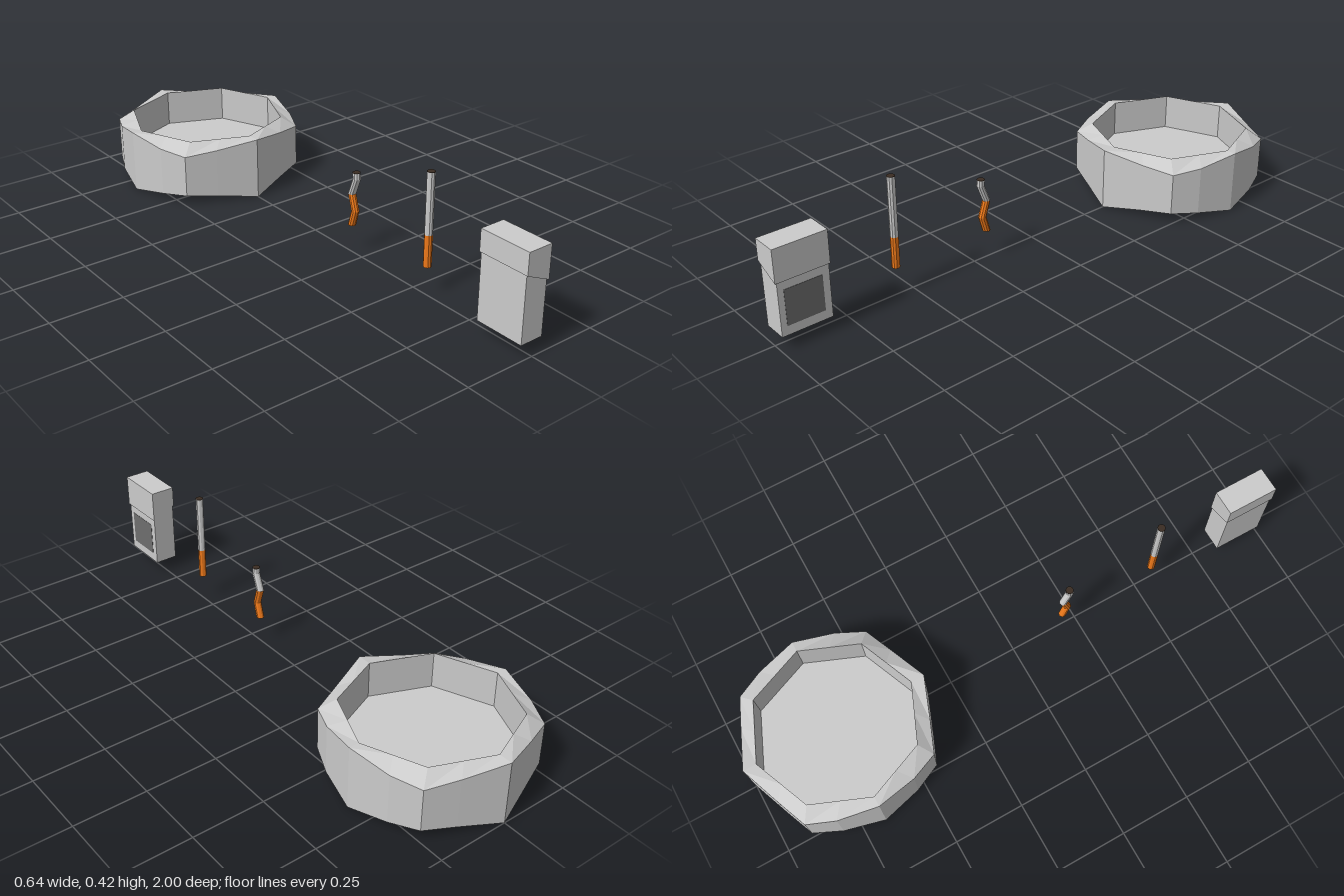
import * as THREE from 'three';

const mat = (color) => new THREE.MeshStandardMaterial({ color, flatShading: true });
const grey = mat(0xcccccc), orange = mat(0xf07a1a), dark = mat(0x3a2c22), label = mat(0x6e6e6e);

function add(parent, name, geometry, material, x = 0, y = 0, z = 0) {
  const mesh = new THREE.Mesh(geometry, material);
  mesh.name = name;
  mesh.position.set(x, y, z);
  parent.add(mesh);
  return mesh;
}

// Joins closed rings of points into faceted bands, first ring to last
function loft(rings) {
  const pos = [];
  for (let r = 0; r < rings.length - 1; r++) {
    const a = rings[r], b = rings[r + 1], n = a.length;
    for (let k = 0; k < n; k++) {
      const j = (k + 1) % n;
      for (const p of [a[k], a[j], b[j], a[k], b[j], b[k]]) pos.push(...p);
    }
  }
  const g = new THREE.BufferGeometry();
  g.setAttribute('position', new THREE.Float32BufferAttribute(pos, 3));
  g.computeVertexNormals();
  return g;
}

// Octagon with edge midpoints, 16 points
function octagon(radius, y) {
  return Array.from({ length: 16 }, (_, k) => {
    const a = (k * Math.PI) / 8, r = k % 2 ? radius * Math.cos(Math.PI / 8) : radius;
    return [r * Math.sin(a), y, r * Math.cos(a)];
  });
}

function ashtrayGeometry() {
  // One quarter of the outer outline: x, z, bevel height; mirrored to the full loop
  const q = [[0, 0.33, 0], [0.14, 0.277, 0.024], [0.245, 0.235, 0.037], [0.287, 0.14, 0.025], [0.318, 0, 0]];
  const outer = (top) => Array.from({ length: 16 }, (_, k) => {
    const m = k % 8, [x, z, h] = q[m <= 4 ? m : 8 - m];
    const sx = k <= 8 ? 1 : -1, sz = k <= 4 || k >= 12 ? 1 : -1;
    return [sx * x, top ? 0.224 - h : h, sz * z];
  });
  return loft([octagon(0, 0), octagon(0.255, 0), outer(false), outer(true),
    octagon(0.282, 0.224), octagon(0.282, 0.095), octagon(0, 0.095)]);
}

// Bent round stick along points [y, z], with end caps
function stick(points, radius, sides = 10) {
  const ring = (y, z, r) => Array.from({ length: sides }, (_, k) => {
    const a = (k * 2 * Math.PI) / sides;
    return [r * Math.sin(a), y, z + r * Math.cos(a)];
  });
  const first = points[0], last = points[points.length - 1];
  return loft([ring(...first, 0), ...points.map((p) => ring(...p, radius)), ring(...last, 0)]);
}

function cigarette(name, filter, paper, radius) {
  const g = new THREE.Group();
  g.name = name;
  add(g, 'filter', stick(filter, radius), orange);
  add(g, 'paper', stick(paper, radius), grey);
  const [y, z] = paper[paper.length - 1];
  add(g, 'tip', stick([[y - 0.001, z], [y + 0.001, z]], radius), dark);
  return g;
}

export function createModel() {
  const model = new THREE.Group();
  model.name = 'smokingSet';

  add(model, 'ashtray', ashtrayGeometry(), grey, 0, 0, -0.67);

  // Pack with slanted flip lid and a label on its left side
  const pack = new THREE.Group();
  pack.name = 'pack';
  add(pack, 'packBody', new THREE.BoxGeometry(0.084, 0.27, 0.174), grey, 0, 0.183, 0.907);
  const lid = new THREE.Shape([[-0.045, 0.273], [0.045, 0.233], [0.045, 0.347], [-0.045, 0.347]]
    .map(([x, y]) => new THREE.Vector2(x, y)));
  add(pack, 'packLid', new THREE.ExtrudeGeometry(lid, { depth: 0.184, bevelEnabled: false }), grey, 0, 0, 0.816);
  add(pack, 'packLabel', new THREE.BoxGeometry(0.002, 0.124, 0.13), label, 0.042, 0.142, 0.909);
  model.add(pack);

  model.add(cigarette('cigarette', [[0.1, 0.56], [0.21, 0.56]], [[0.21, 0.56], [0.419, 0.56]], 0.0135));
  model.add(cigarette('cigaretteButt', [[0.1, 0.197], [0.155, 0.213], [0.212, 0.195]],
    [[0.212, 0.195], [0.272, 0.218], [0.293, 0.216]], 0.0135));
  return model;
}
